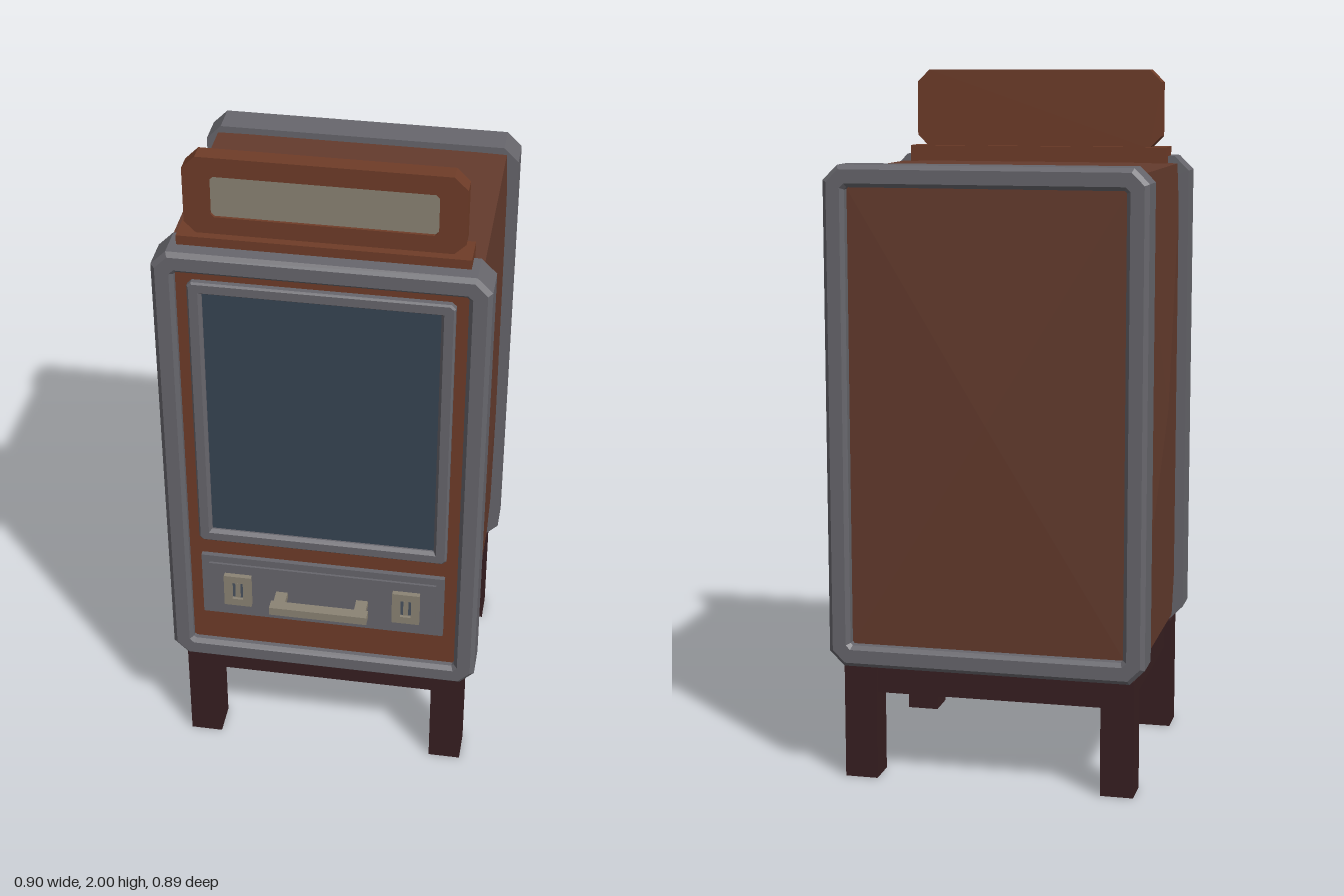
import * as THREE from 'three';
import { ConvexGeometry } from 'three/addons/geometries/ConvexGeometry.js';

const mat = (name, color) => new THREE.MeshStandardMaterial({ name, color });

export function createModel() {
  const root = new THREE.Group();
  root.name = 'cabinet';
  const brown = mat('cabinet brown', 0x643b2d);
  const rust = mat('panel rust brown', 0x6f3c28);
  const grey = mat('trim grey', 0x67666c);
  const dark = mat('leg dark wood', 0x371f21);
  const glass = mat('window blue', 0x374453);
  const beige = mat('metal beige', 0x8b8374);
  const slotBlue = mat('slot blue grey', 0x48525e);

  const add = (name, geo, material, parent = root) => {
    const m = new THREE.Mesh(geo, material);
    m.name = name;
    parent.add(m);
    return m;
  };
  // Box given by its extents on each axis
  const box = (name, material, x0, x1, y0, y1, z0, z1, parent) => {
    const g = new THREE.BoxGeometry(x1 - x0, y1 - y0, z1 - z0);
    g.translate((x0 + x1) / 2, (y0 + y1) / 2, (z0 + z1) / 2);
    return add(name, g, material, parent);
  };
  // Rectangle with cut corners, centred on the origin
  const cutRect = (w, h, c) => {
    const x = w / 2, y = h / 2;
    return [[x, -y + c], [x, y - c], [x - c, y], [-x + c, y], [-x, y - c], [-x, -y + c], [-x + c, -y], [x - c, -y]];
  };
  const toPoints = (a) => a.map(([x, y]) => new THREE.Vector2(x, y));
  // Closed ring lofted through [inset, z] steps
  const ring = (w, h, cut, steps) => {
    const loops = steps.map(([d, z]) =>
      cutRect(w - 2 * d, h - 2 * d, Math.max(0.001, cut - 0.586 * d)).map(([x, y]) => [x, y, z]));
    const pos = [];
    loops.forEach((a, i) => {
      const b = loops[(i + 1) % loops.length];
      for (let j = 0; j < 8; j++) {
        const k = (j + 1) % 8;
        pos.push(...a[j], ...a[k], ...b[k], ...a[j], ...b[k], ...b[j]);
      }
    });
    const g = new THREE.BufferGeometry();
    g.setAttribute('position', new THREE.Float32BufferAttribute(pos, 3));
    g.computeVertexNormals();
    return g;
  };

  // Body: a box whose faces swell to a shallow point
  const pts = [];
  for (const x of [-0.418, 0.418]) for (const y of [0.352, 1.727]) for (const z of [-0.41, 0.33])
    pts.push(new THREE.Vector3(x, y, z));
  for (const s of [-1, 1]) pts.push(new THREE.Vector3(s * 0.447, 1.04, -0.04));
  pts.push(new THREE.Vector3(0, 1.735, -0.04), new THREE.Vector3(0, 0.345, -0.04), new THREE.Vector3(0, 1.04, -0.425));
  add('body', new ConvexGeometry(pts), brown);

  // Bevelled frames around the front and back
  const frame = ring(0.904, 1.412, 0.042,
    [[0, 0], [0, 0.097], [0.012, 0.109], [0.05, 0.109], [0.061, 0.097], [0.061, 0]]);
  add('frontFrame', frame, grey).position.set(0, 1.042, 0.262);
  const back = add('backFrame', frame, grey);
  back.position.set(0, 1.042, -0.336);
  back.rotation.y = Math.PI;

  // Front panel and window
  box('frontPanel', rust, -0.393, 0.393, 0.395, 1.69, 0.325, 0.345);
  add('windowFrame', ring(0.716, 0.876, 0.012,
    [[0, 0], [0, 0.016], [0.005, 0.021], [0.03, 0.021], [0.038, 0.01], [0.038, 0]]), grey)
    .position.set(0, 1.222, 0.344);
  box('window', glass, -0.322, 0.322, 0.82, 1.625, 0.342, 0.349);

  // Drawer with a raised inner face
  box('drawer', grey, -0.355, 0.355, 0.51, 0.725, 0.34, 0.36);
  box('drawerFace', grey, -0.332, 0.332, 0.535, 0.702, 0.36, 0.367);
  for (const s of [-1, 1]) {
    const slot = new THREE.Group();
    slot.name = s > 0 ? 'leftSlot' : 'rightSlot';
    slot.position.set(s * 0.247, 0.617, 0.366);
    root.add(slot);
    add('slotPlate', ring(0.08, 0.108, 0.001, [[0, 0], [0, 0.016], [0.024, 0.016], [0.024, 0]]), beige, slot);
    box('slotInset', slotBlue, -0.017, 0.017, -0.031, 0.031, 0, 0.006, slot);
    box('slotBar', beige, -0.007, 0.007, -0.026, 0.026, 0.005, 0.012, slot);
    box('handlePost', beige, s * 0.118 - 0.017, s * 0.118 + 0.017, 0.598, 0.62, 0.365, 0.412);
  }
  box('handleBar', beige, -0.142, 0.142, 0.596, 0.622, 0.411, 0.443);

  // Sign board on top, with a recessed plate
  box('signBase', rust, -0.39, 0.39, 1.72, 1.775, 0.225, 0.32);
  const board = new THREE.Shape(toPoints(cutRect(0.744, 0.23, 0.036)));
  board.holes.push(new THREE.Path(toPoints(cutRect(0.6, 0.12, 0.01)).reverse()));
  add('signBoard', new THREE.ExtrudeGeometry(board, { depth: 0.012, bevelEnabled: false }), rust)
    .position.set(0, 1.885, 0.284);
  const backing = new THREE.Shape(toPoints(cutRect(0.744, 0.23, 0.036)));
  add('signBacking', new THREE.ExtrudeGeometry(backing, { depth: 0.039, bevelEnabled: false }), rust)
    .position.set(0, 1.885, 0.245);
  box('signPlate', beige, -0.3, 0.3, 1.825, 1.945, 0.282, 0.288);

  // Stand: four legs joined by rails
  for (const [z0, z1, end] of [[0.243, 0.339, 'front'], [-0.407, -0.315, 'back']]) {
    for (const s of [-1, 1])
      box(end + 'Leg', dark, s * 0.371 - 0.047, s * 0.371 + 0.047, 0, 0.336, z0, z1);
    const zc = (z0 + z1) / 2;
    box(end + 'Rail', dark, -0.325, 0.325, 0.25, 0.336, zc - 0.027, zc + 0.027);
  }
  for (const s of [-1, 1])
    box('sideRail', dark, s * 0.371 - 0.027, s * 0.371 + 0.027, 0.25, 0.353, -0.316, 0.244);

  return root;
}
